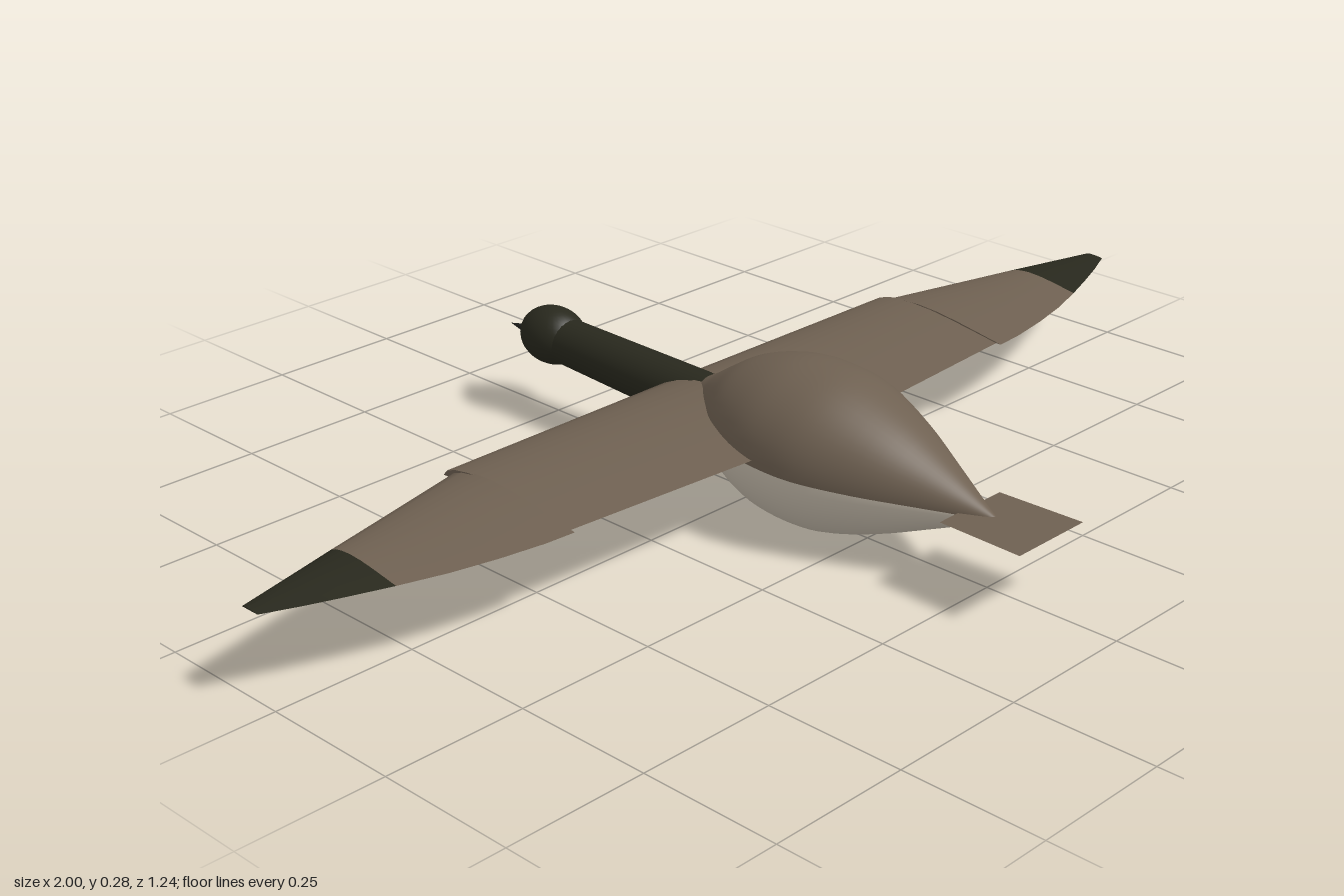
import * as THREE from 'three';
import { toCreasedNormals } from 'three/addons/utils/BufferGeometryUtils.js';

const mat = (name, color) => {
  const m = new THREE.MeshStandardMaterial({ color });
  m.name = name;
  return m;
};

// Wing cross-section: [fraction of chord from leading edge, fraction of height];
// the last two edges form the underside
const AIRFOIL = [[0, 0], [0.03, 0.42], [0.1, 0.72], [0.2, 0.93], [0.32, 1], [0.48, 0.9],
  [0.65, 0.65], [0.83, 0.32], [1, 0], [0.5, -0.02]];
const WING_Y = 0.151;

// Lofts the cross-section through stations of [x, front z, back z, height];
// group 0 is the upper surface with the ends, group 1 the underside
function loftWing(stations, side) {
  const n = AIRFOIL.length, pos = [], upper = [], under = [];
  const tri = (list, a, b, c) => (side > 0 ? list.push(a, b, c) : list.push(a, c, b));
  for (const [x, front, back, h] of stations)
    for (const [t, u] of AIRFOIL) pos.push(side * x, WING_Y + u * h, front + t * (back - front));
  for (let i = 0; i < stations.length - 1; i++)
    for (let j = 0; j < n; j++) {
      const a = i * n + j, b = i * n + (j + 1) % n;
      const list = j < n - 2 ? upper : under;
      tri(list, a, b, a + n);
      tri(list, b, b + n, a + n);
    }
  const last = (stations.length - 1) * n;
  for (let j = 1; j < n - 1; j++) {
    tri(upper, 0, j + 1, j);
    tri(upper, last, last + j, last + j + 1);
  }
  const geo = new THREE.BufferGeometry();
  geo.setAttribute('position', new THREE.Float32BufferAttribute(pos, 3));
  geo.setIndex([...upper, ...under]);
  geo.addGroup(0, upper.length, 0);
  geo.addGroup(upper.length, under.length, 1);
  return toCreasedNormals(geo, 0.7);
}

export function createModel() {
  const group = new THREE.Group();
  const brown = mat('brownFeathers', 0x6e6051);
  const pale = mat('paleUnderside', 0xc8beae);
  const dark = mat('darkFeathers', 0x28281d);
  const black = mat('blackBill', 0x1e1e1a);
  const add = (name, geo, material, parent = group) => {
    const mesh = new THREE.Mesh(geo, material);
    mesh.name = name;
    parent.add(mesh);
    return mesh;
  };

  // Teardrop body, split into brown back and pale belly, tilted slightly
  const profile = new THREE.SplineCurve([[0.001, -0.285], [0.03, -0.268], [0.05, -0.24],
    [0.081, -0.2], [0.115, -0.15], [0.14, -0.08], [0.147, -0.015], [0.14, 0.06], [0.106, 0.155],
    [0.06, 0.25], [0.025, 0.32], [0.001, 0.37]].map(([r, z]) => new THREE.Vector2(r, z)))
    .getPoints(44).map((p) => new THREE.Vector2(Math.max(p.x, 0), p.y));
  const body = new THREE.Group();
  body.name = 'body';
  body.position.set(0, 0.14, 0.15);
  body.rotation.x = 0.045;
  body.scale.y = 0.94;
  group.add(body);
  const half = (start) =>
    new THREE.LatheGeometry(profile, 24, start, Math.PI).rotateX(Math.PI / 2);
  add('back', half(Math.PI / 2), brown, body);
  add('belly', half(-Math.PI / 2), pale, body);

  // Neck, tapering toward the head
  const from = new THREE.Vector3(0, 0.133, -0.05), to = new THREE.Vector3(0, 0.147, -0.49);
  const neck = add('neck', new THREE.CylinderGeometry(0.042, 0.05, from.distanceTo(to), 24), dark);
  neck.position.copy(from).lerp(to, 0.5);
  neck.quaternion.setFromUnitVectors(new THREE.Vector3(0, 1, 0), to.clone().sub(from).normalize());

  // Head and bill
  const head = add('head', new THREE.SphereGeometry(0.053, 28, 20), dark);
  head.scale.z = 1.3;
  head.position.set(0, 0.149, -0.506);
  const bill = add('bill', new THREE.ConeGeometry(0.014, 0.07, 16).rotateX(-Math.PI / 2), black);
  bill.position.set(0, 0.14, -0.588);

  // Wings: broad inner panel, tapered outer panel, dark tip
  for (const side of [1, -1]) {
    const wing = new THREE.Group();
    wing.name = side > 0 ? 'leftWing' : 'rightWing';
    group.add(wing);
    add('innerWing', loftWing([[0, -0.19, 0.138, 0.03], [0.52, -0.19, 0.1, 0.024]], side),
      [brown, pale], wing);
    add('outerWing', loftWing([[0.515, -0.175, 0.111, 0.025], [0.57, -0.162, 0.107, 0.023],
      [0.65, -0.143, 0.094, 0.02], [0.73, -0.124, 0.076, 0.017], [0.81, -0.105, 0.051, 0.014]],
    side), [brown, pale], wing);
    add('wingTip', loftWing([[0.81, -0.105, 0.051, 0.014], [0.88, -0.088, 0.026, 0.01],
      [0.94, -0.074, 0.003, 0.006], [1, -0.06, -0.023, 0.002]], side), [dark, dark], wing);
  }

  // Flat, slightly flared tail: brown above, pale below
  const outline = new THREE.Shape([[-0.074, -0.46], [0.074, -0.46], [0.079, -0.62], [-0.079, -0.62]]
    .map(([x, y]) => new THREE.Vector2(x, y)));
  const tail = new THREE.Group();
  tail.name = 'tail';
  tail.position.y = 0.129;
  group.add(tail);
  const sheet = new THREE.ShapeGeometry(outline).rotateX(-Math.PI / 2);
  add('tailTop', sheet, brown, tail);
  const underside = add('tailUnderside', sheet.clone().rotateZ(Math.PI), pale, tail);
  underside.position.y = -0.002;

  return group;
}
